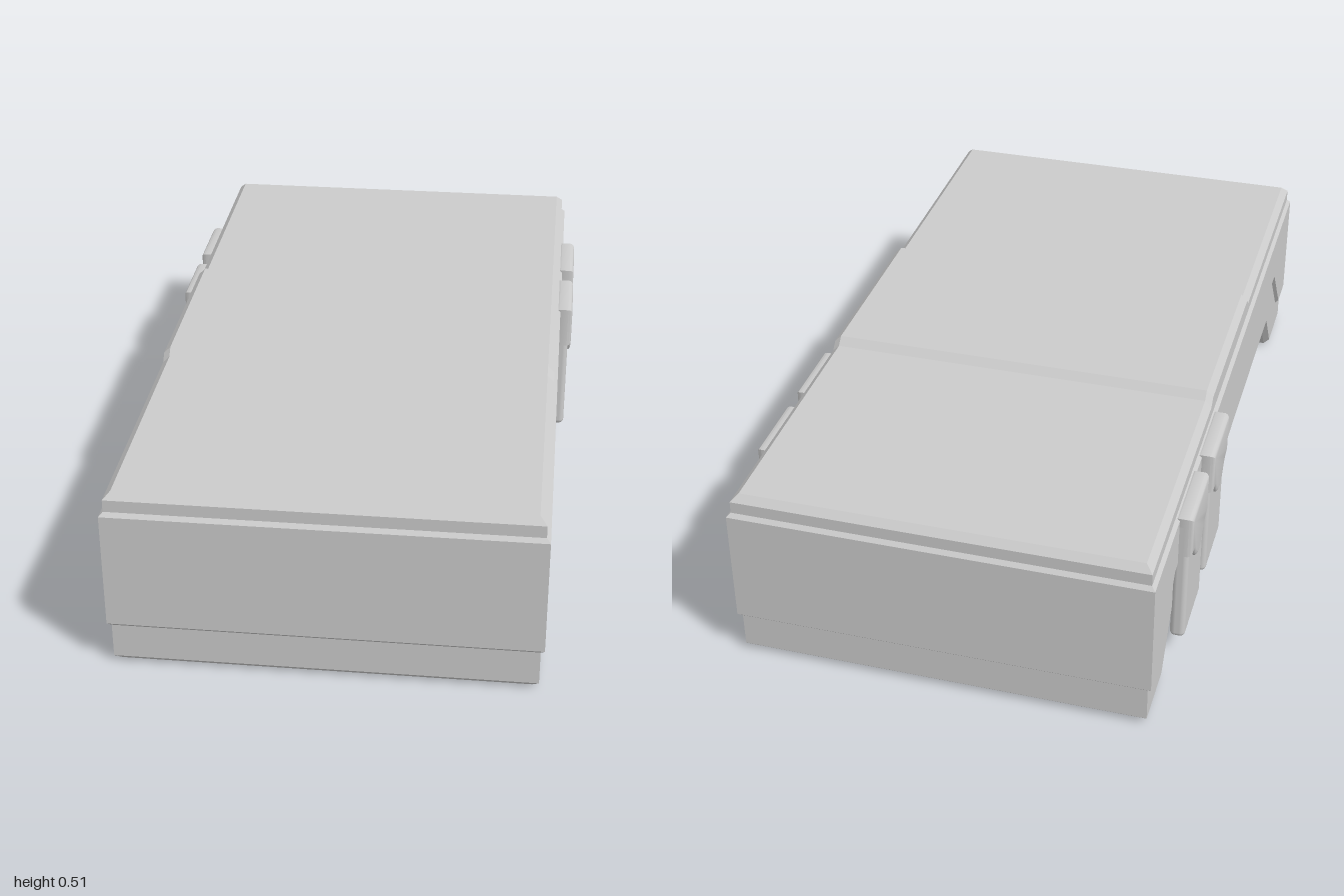
import * as THREE from 'three';
import { toCreasedNormals } from 'three/addons/utils/BufferGeometryUtils.js';
import { RoundedBoxGeometry } from 'three/addons/geometries/RoundedBoxGeometry.js';

const material = new THREE.MeshStandardMaterial({ color: 0xcccccc });

// Chamfered slab lofted along z, symmetric front to back.
// Stations [z, bottom, top] run from the front face to the middle.
function chamferedLoft(half, w, c) {
  const stations = [...half, ...half.map(([z, b, t]) => [-z, b, t]).reverse()];
  const last = stations.length - 1;
  const pos = [], index = [];
  stations.forEach(([z, b, t], i) => {
    const k = i === 0 || i === last ? 0 : c; // end faces meet the chamfer
    const wi = w - k;
    [[-wi, b], [wi, b], [w, b + k], [w, t - k], [wi, t], [-wi, t], [-w, t - k], [-w, b + k]]
      .forEach(([x, y]) => pos.push(x, y, z));
  });
  for (let i = 0; i < last; i++) {
    for (let j = 0; j < 8; j++) {
      const a = i * 8 + j, b = i * 8 + (j + 1) % 8;
      index.push(a, a + 8, b + 8, a, b + 8, b);
    }
  }
  for (let j = 1; j < 7; j++) {
    index.push(0, j, j + 1, last * 8, last * 8 + j + 1, last * 8 + j);
  }
  const g = new THREE.BufferGeometry();
  g.setAttribute('position', new THREE.Float32BufferAttribute(pos, 3));
  g.setIndex(index);
  const flat = g.toNonIndexed();
  flat.computeVertexNormals();
  return flat;
}

function mesh(geometry, name) {
  const m = new THREE.Mesh(geometry, material);
  m.name = name;
  return m;
}

// Flap outline with a curved, drooping lower edge
function flapGeometry() {
  const bevel = 0.012, h = 0.1025 - bevel, top = 0.437 - bevel, side = 0.32 + bevel, tip = 0.262 + bevel;
  const s = new THREE.Shape();
  s.moveTo(-h, top);
  s.lineTo(-h, side);
  s.bezierCurveTo(-h * 0.45, side, -h * 0.45, tip, 0, tip);
  s.bezierCurveTo(h * 0.45, tip, h * 0.45, side, h, side);
  s.lineTo(h, top);
  s.closePath();
  const g = new THREE.ExtrudeGeometry(s, {
    depth: 0.026, bevelEnabled: true, bevelSize: bevel, bevelThickness: bevel, bevelSegments: 3, curveSegments: 10,
  });
  g.translate(0, 0, 0.525 + bevel);
  g.rotateY(Math.PI / 2);
  return toCreasedNormals(g, 0.7);
}

export function createModel() {
  const model = new THREE.Group();
  model.name = 'armouredBlock';

  // Lower body with a foot at each end and an arch between them
  model.add(mesh(chamferedLoft([
    [0.99, 0.017, 0.42], [0.973, 0, 0.42], [0.82, 0, 0.42], [0.715, 0.135, 0.42],
  ], 0.53, 0.017), 'lowerBody'));

  // Outer armour shell with a stepped lower edge
  model.add(mesh(chamferedLoft([
    [1, 0.12, 0.43], [0.99, 0.11, 0.44], [0.9, 0.11, 0.44], [0.75, 0.285, 0.44],
    [0.425, 0.285, 0.44], [0.375, 0.23, 0.44],
  ], 0.54, 0.01), 'outerShell'));

  // Lid with a raised centre panel
  model.add(mesh(chamferedLoft([
    [0.99, 0.3, 0.472], [0.972, 0.3, 0.49], [0.275, 0.3, 0.49], [0.255, 0.3, 0.51],
  ], 0.53, 0.018), 'lid'));

  // Two flapped pouches on each side, toward the rear
  const pouch = new RoundedBoxGeometry(0.04, 0.37, 0.205, 3, 0.014);
  pouch.translate(0.546, 0.24, 0);
  const flap = flapGeometry();
  for (const side of [1, -1]) {
    for (const z of [-0.3425, -0.6175]) {
      const g = new THREE.Group();
      g.name = side > 0 ? 'leftPouch' : 'rightPouch';
      g.add(mesh(pouch, 'pouchBody'), mesh(flap, 'pouchFlap'));
      g.position.z = z;
      if (side < 0) g.rotation.y = Math.PI;
      model.add(g);
    }
  }
  return model;
}
